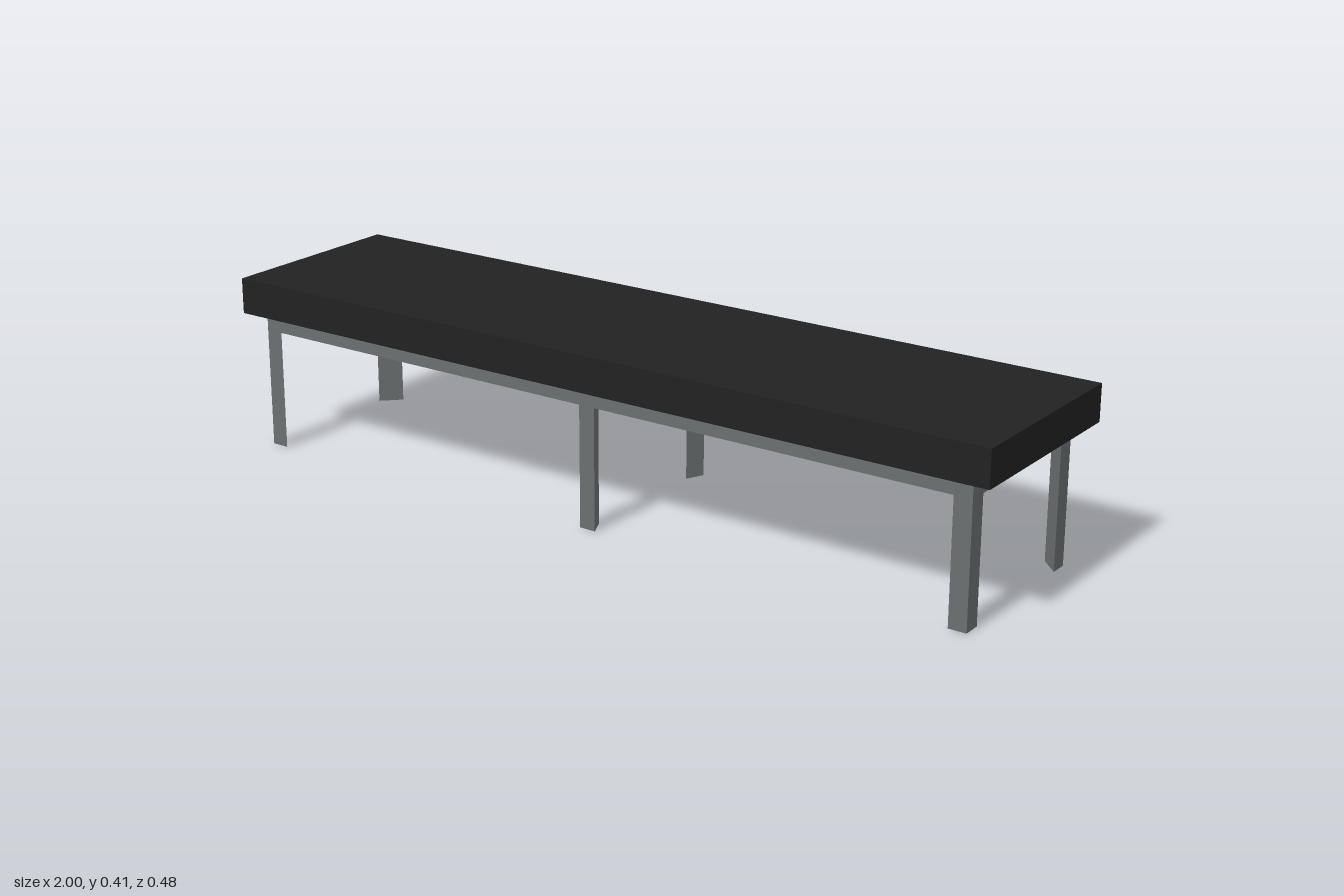
import * as THREE from 'three';
import { ConvexGeometry } from 'three/addons/geometries/ConvexGeometry.js';

const X = 0.95, Z = 0.214;      // outer faces of the frame
const TOP = 0.329, LOW = 0.289; // rail top and bottom
const W = 0.043, HALF = 0.02;   // bar width, half width of the middle bars

export function createModel() {
  const bench = new THREE.Group();
  bench.name = 'bench';

  const seatMaterial = new THREE.MeshStandardMaterial({ color: 0x222222 });
  seatMaterial.name = 'black seat';
  const frameMaterial = new THREE.MeshStandardMaterial({ color: 0x6a6f6f });
  frameMaterial.name = 'grey frame';

  // Triangular bar: a three-point section swept between two positions
  function bar(name, section, from, to, place) {
    const points = [from, to].flatMap(t =>
      section.map(([u, v]) => new THREE.Vector3(...place(u, v, t))));
    const mesh = new THREE.Mesh(new ConvexGeometry(points), frameMaterial);
    mesh.name = name;
    bench.add(mesh);
  }

  // Seat slab
  const seat = new THREE.Mesh(new THREE.BoxGeometry(2, 0.086, 0.484), seatMaterial);
  seat.name = 'seat';
  seat.position.y = TOP + 0.043;
  bench.add(seat);

  // Sections: right angle on the outer side, sloping face inward
  const cornerSection = [[0, 0], [W, 0], [0, W]];
  const railSection = [[0, TOP], [0, LOW], [W, TOP]];
  const middleSection = [[-HALF, 0], [HALF, 0], [0, W]];
  const crossSection = [[-HALF, TOP], [HALF, TOP], [0, LOW]];

  for (const s of [-1, 1]) {
    const end = s > 0 ? 'left' : 'right';
    const side = s > 0 ? 'front' : 'back';

    // Corner legs
    for (const t of [-1, 1]) {
      bar(`${t > 0 ? 'front' : 'back'} ${end} leg`, cornerSection, 0, TOP,
        (u, v, y) => [s * (X - u), y, t * (Z - v)]);
    }

    // Middle legs with the flat face outward
    bar(`${side} middle leg`, middleSection, 0, TOP,
      (u, v, y) => [u, y, s * (Z - v)]);

    // Long and short rails under the seat
    bar(`${side} rail`, railSection, -X, X, (u, v, x) => [x, v, s * (Z - u)]);
    bar(`${end} end rail`, railSection, -Z, Z, (u, v, z) => [s * (X - u), v, z]);
  }

  // Crossbar joining the middle legs
  bar('middle crossbar', crossSection, -Z, Z, (u, v, z) => [u, v, z]);

  return bench;
}
